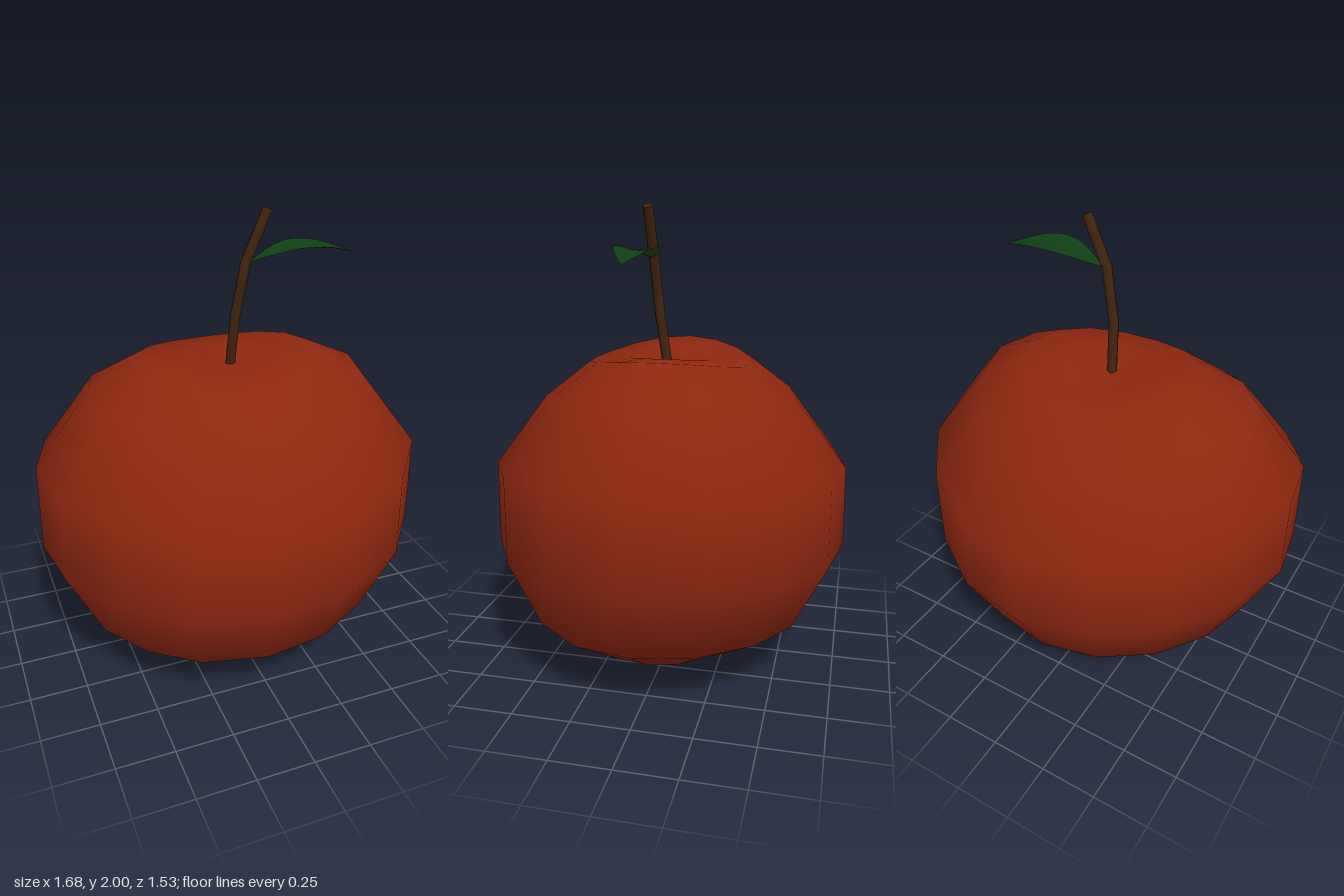
import * as THREE from 'three';

const skin = new THREE.MeshStandardMaterial({ color: 0x8f2810 });
skin.name = 'red skin';
const bark = new THREE.MeshStandardMaterial({ color: 0x42240f });
bark.name = 'brown bark';
const leafTop = new THREE.MeshStandardMaterial({ color: 0x0f3f15 });
leafTop.name = 'dark green';
const leafUnder = new THREE.MeshStandardMaterial({ color: 0x2c4715 });
leafUnder.name = 'olive green';

function addMesh(group, name, geometry, material) {
  const mesh = new THREE.Mesh(geometry, material);
  mesh.name = name;
  group.add(mesh);
  return mesh;
}

// Widest outline of the fruit, [x, z], from the left side round through the front
const OUTLINE = [
  [0.84, 0], [0.78, 0.31], [0.58, 0.56], [0.28, 0.72],
  [-0.06, 0.765], [-0.39, 0.69], [-0.63, 0.52], [-0.8, 0.28],
  [-0.845, 0], [-0.76, -0.28], [-0.57, -0.53], [-0.31, -0.7],
  [0, -0.77], [0.31, -0.72], [0.56, -0.56], [0.755, -0.31],
];

// Rings from bottom to top: [scale, height at the sides, drop at front and back, z shift]
const RINGS = [
  [0.43, 0.06, 0, 0.03],
  [0.81, 0.27, 0.02, 0.01],
  [1, 0.6, 0.045, 0],
  [0.995, 0.985, 0.085, 0],
  [0.71, 1.3, 0.115, 0],
  [0.46, 1.395, 0.055, 0],
  [0.24, 1.38, 0.025, 0],
];

function fruitGeometry() {
  const n = OUTLINE.length;
  const positions = [];
  const index = [];
  for (const [scale, y, drop, shift] of RINGS) {
    OUTLINE.forEach(([x, z], j) => {
      const s = Math.sin((j / n) * Math.PI * 2);
      positions.push(x * scale, y - drop * s * s, z * scale + shift);
    });
  }
  const bottom = RINGS.length * n;
  const top = bottom + 1;
  positions.push(0, 0, 0.03, 0.01, 1.34, 0.01);

  for (let j = 0; j < n; j++) {
    const k = (j + 1) % n;
    index.push(bottom, j, k);
    for (let i = 0; i < RINGS.length - 1; i++) {
      const a = i * n + j, b = i * n + k;
      index.push(a, a + n, b, b, a + n, b + n);
    }
    const last = (RINGS.length - 1) * n;
    index.push(last + j, top, last + k);
  }
  const geometry = new THREE.BufferGeometry();
  geometry.setAttribute('position', new THREE.Float32BufferAttribute(positions, 3));
  geometry.setIndex(index);
  geometry.computeVertexNormals();
  return geometry;
}

// Plane bent into a pointed blade with an arched midrib and raised edges
function leafGeometry() {
  const geometry = new THREE.PlaneGeometry(1, 1, 10, 4).rotateX(-Math.PI / 2);
  const p = geometry.attributes.position;
  for (let i = 0; i < p.count; i++) {
    const t = p.getX(i) + 0.5;
    const side = p.getZ(i) * 2;
    const swell = Math.sin(Math.PI * t);
    p.setXYZ(i,
      0.08 + 0.48 * t,
      1.78 + swell * (0.043 + 0.017 * side * side),
      0.063 + 0.091 * swell * side);
  }
  geometry.computeVertexNormals();
  return geometry;
}

export function createModel() {
  const model = new THREE.Group();
  model.name = 'apple';

  addMesh(model, 'fruit', fruitGeometry(), skin);

  // Bent stem with a closed tip
  const path = new THREE.CatmullRomCurve3([
    new THREE.Vector3(0.015, 1.33, 0.018),
    new THREE.Vector3(0.025, 1.56, 0.05),
    new THREE.Vector3(0.06, 1.77, 0.063),
    new THREE.Vector3(0.156, 1.991, 0.065),
  ]);
  const radius = 0.022;
  addMesh(model, 'stem', new THREE.TubeGeometry(path, 3, radius, 8), bark);
  const tip = addMesh(model, 'stemTip', new THREE.CircleGeometry(radius, 8), bark);
  tip.position.copy(path.getPointAt(1));
  tip.quaternion.setFromUnitVectors(new THREE.Vector3(0, 0, 1), path.getTangentAt(1));

  // Leaf: one face for each side
  const leaf = new THREE.Group();
  leaf.name = 'leaf';
  const upper = leafGeometry();
  const lower = upper.clone();
  lower.setIndex(Array.from(upper.index.array).reverse());
  lower.computeVertexNormals();
  addMesh(leaf, 'leafUpperFace', upper, leafTop);
  addMesh(leaf, 'leafLowerFace', lower, leafUnder);
  model.add(leaf);

  return model;
}
